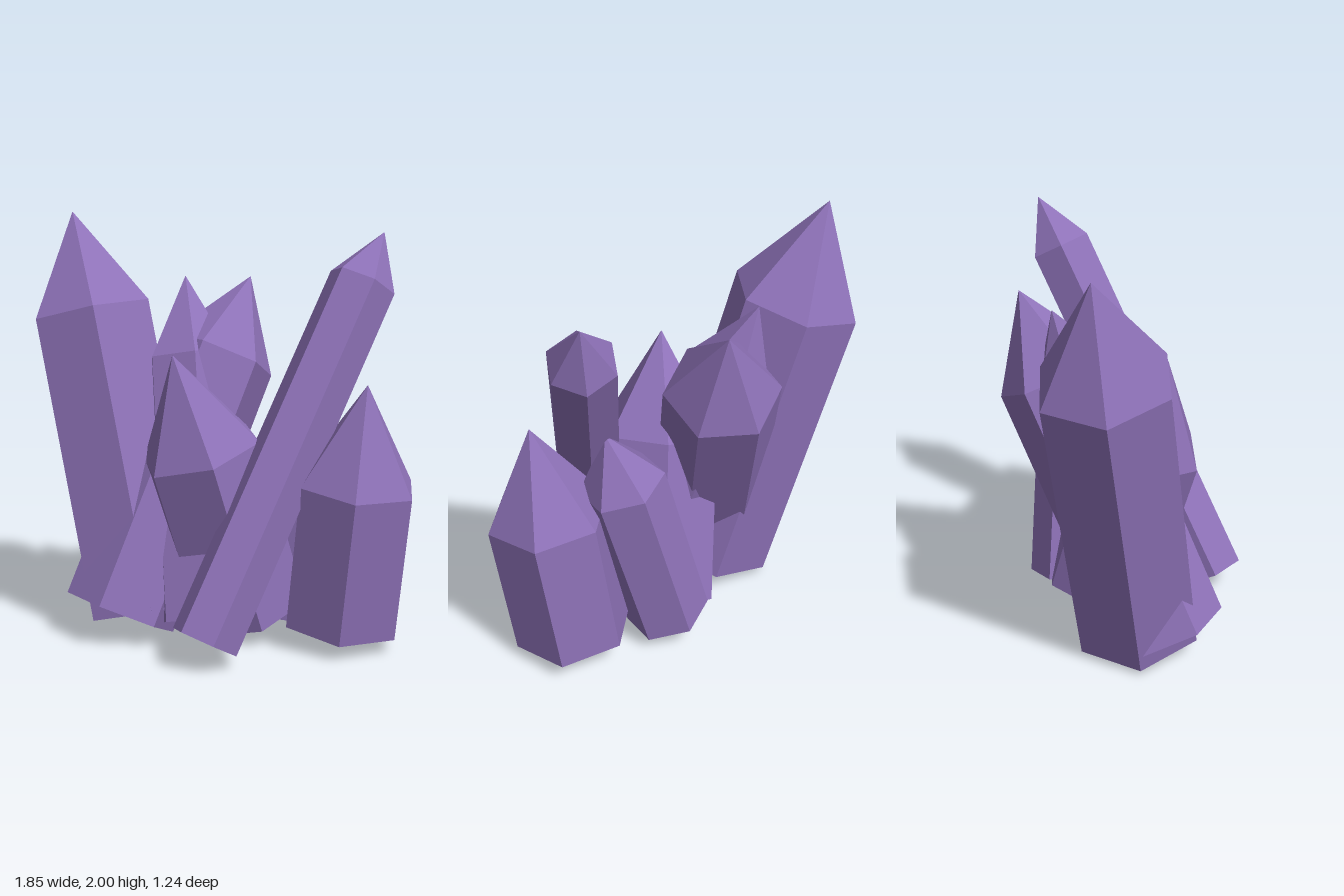
import * as THREE from 'three';

const amethyst = new THREE.MeshStandardMaterial({ color: 0x8e72b8, side: THREE.DoubleSide });
amethyst.name = 'amethyst';

// Six-sided hollow crystal, open at the base: prism up to the shoulder, then a pointed tip.
// "corner" is a point near one shoulder corner and sets the twist.
function crystal(name, base, shoulder, corner, radius, tip) {
  const b = new THREE.Vector3(...base);
  const s = new THREE.Vector3(...shoulder);
  const axis = s.clone().sub(b);
  const length = axis.length();
  axis.normalize();

  const profile = [[radius, 0], [radius, length], [0, length + tip]]
    .map(([x, y]) => new THREE.Vector2(x, y));
  const geometry = new THREE.LatheGeometry(profile, 6).toNonIndexed();
  geometry.computeVertexNormals(); // one normal per facet

  const z = new THREE.Vector3(...corner).sub(s);
  z.addScaledVector(axis, -z.dot(axis)).normalize();
  const x = axis.clone().cross(z);
  const matrix = new THREE.Matrix4().makeBasis(x, axis, z).setPosition(b);

  const mesh = new THREE.Mesh(geometry, amethyst);
  mesh.name = name;
  mesh.applyMatrix4(matrix);
  return mesh;
}

export function createModel() {
  const group = new THREE.Group();
  group.name = 'crystalCluster';

  // name, base centre, shoulder centre, shoulder corner, radius, tip height
  const crystals = [
    ['tallCrystal', [-0.242, 0.105, 0.237], [-0.645, 1.515, 0.237], [-0.68, 1.51, 0.55], 0.316, 0.505],
    ['slantedCrystal', [0.352, 0.118, 0.412], [0.485, 1.695, -0.472], [0.485, 1.78, -0.33], 0.162, 0.262],
    ['rightCrystal', [0.55, 0.105, -0.288], [0.643, 0.79, -0.276], [0.923, 0.75, -0.33], 0.292, 0.475],
    ['centreCrystal', [0.11, 0.11, -0.105], [0.04, 0.915, 0.142], [0.03, 0.82, 0.42], 0.298, 0.485],
    ['backCrystal', [0.08, 0.1, -0.255], [0.3, 0.935, -0.3], [0.1, 0.955, -0.33], 0.205, 0.29],
    ['leaningCrystal', [-0.255, 0.11, 0.4], [-0.19, 1.31, -0.2], [-0.03, 1.19, -0.4], 0.275, 0.42],
    ['innerCrystal', [0.1, 0.105, 0.175], [-0.25, 1.295, -0.055], [-0.085, 1.365, 0.065], 0.225, 0.42],
  ];
  for (const c of crystals) group.add(crystal(...c));

  return group;
}
